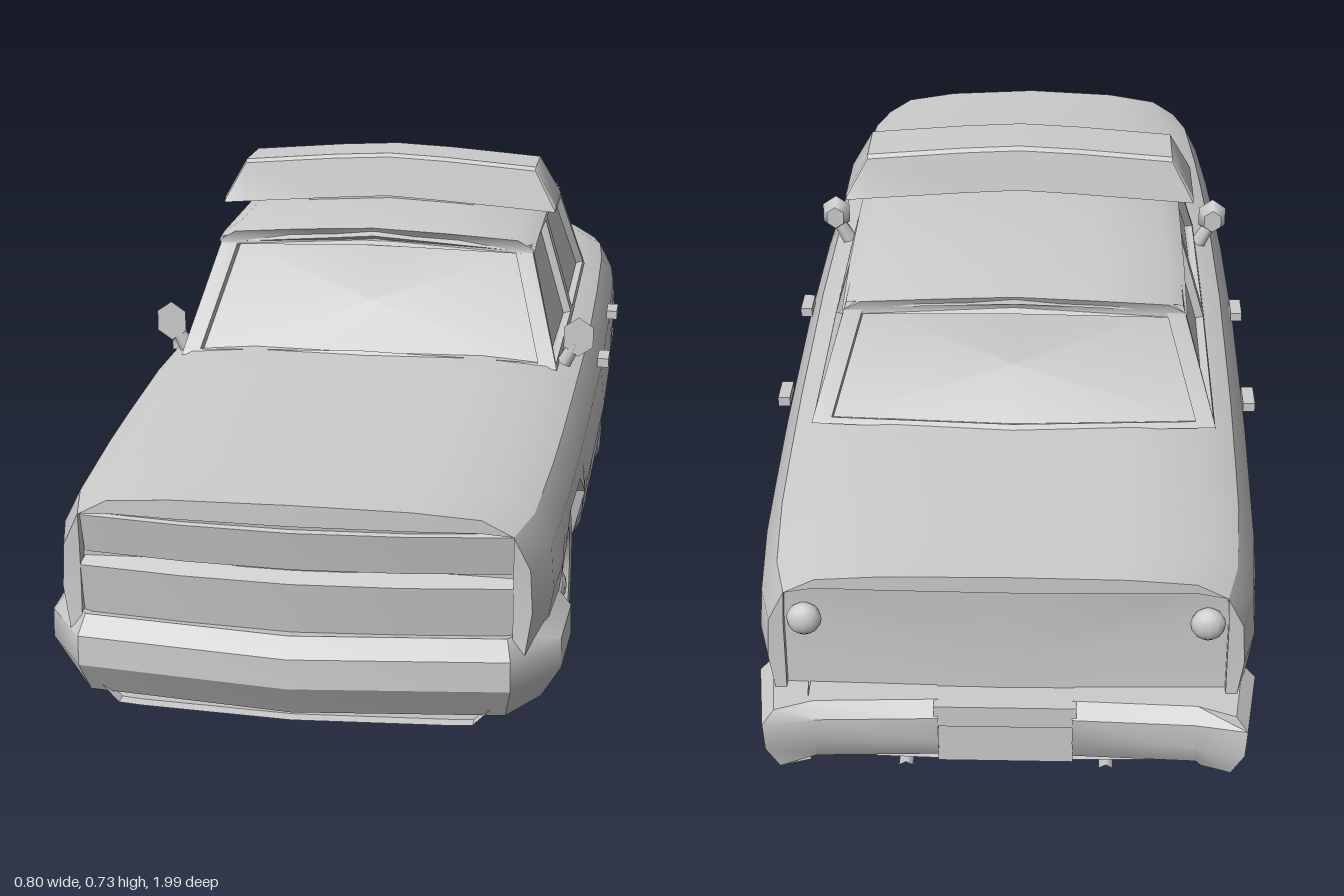
import * as THREE from 'three';
import { toCreasedNormals } from 'three/addons/utils/BufferGeometryUtils.js';

const paint = new THREE.MeshStandardMaterial({ color: 0xcccccc });
paint.name = 'plain grey';

// Geometry from triangles given as [x, y, z] corners
function fromTriangles(tris, crease = 0.55) {
  const g = new THREE.BufferGeometry();
  g.setAttribute('position', new THREE.Float32BufferAttribute(tris.flat(2), 3));
  return toCreasedNormals(g, crease);
}
const centre = (pts) => [0, 1, 2].map((k) => pts.reduce((s, p) => s + p[k], 0) / pts.length);

// Skin over a row of closed rings, capped at both ends
function loft(rings, crease) {
  const tris = [], n = rings[0].length;
  for (let i = 0; i < rings.length - 1; i++) {
    for (let j = 0; j < n; j++) {
      const k = (j + 1) % n, a = rings[i], b = rings[i + 1];
      tris.push([a[j], a[k], b[k]], [a[j], b[k], b[j]]);
    }
  }
  const first = rings[0], last = rings[rings.length - 1];
  const c0 = centre(first), c1 = centre(last);
  for (let j = 0; j < n; j++) {
    const k = (j + 1) % n;
    tris.push([c0, first[k], first[j]], [c1, last[j], last[k]]);
  }
  return fromTriangles(tris, crease);
}

// Profile of [outward, y] points swept along a plan path of [x, z] points
function sweep(path, profile) {
  return loft(path.map(([x, z], i) => {
    const p = path[Math.max(i - 1, 0)], q = path[Math.min(i + 1, path.length - 1)];
    const dx = q[0] - p[0], dz = q[1] - p[1], l = Math.hypot(dx, dz);
    return profile.map(([o, y]) => [x - (dz / l) * o, y, z + (dx / l) * o]);
  }));
}

// Window frame with a recessed pane
function framed(outer, k = 0.1, depth = 0.014) {
  const c = centre(outer), v = outer.map((p) => new THREE.Vector3(...p));
  const n = v[1].clone().sub(v[0]).cross(v[v.length - 1].clone().sub(v[0])).normalize();
  const inner = outer.map((p) => p.map((a, i) => a + (c[i] - a) * k));
  const deep = inner.map((p) => [p[0] - n.x * depth, p[1] - n.y * depth, p[2] - n.z * depth]);
  const dc = centre(deep), tris = [];
  outer.forEach((_, i) => {
    const j = (i + 1) % outer.length;
    tris.push([outer[i], outer[j], inner[j]], [outer[i], inner[j], inner[i]]);
    tris.push([inner[i], inner[j], deep[j]], [inner[i], deep[j], deep[i]]);
    tris.push([deep[i], deep[j], dc]);
  });
  return fromTriangles(tris, 0.3);
}

// Piecewise linear lookup in a list of [key, value], keys ascending
function lookup(table, t) {
  for (let i = 1; i < table.length; i++) {
    const [a, u] = table[i - 1], [b, v] = table[i];
    if (t <= b) return u + (v - u) * Math.max(0, (t - a) / (b - a));
  }
  return table[table.length - 1][1];
}
const flank = [[0.08, 0.3], [0.13, 0.35], [0.2, 0.385], [0.27, 0.395], [0.34, 0.388]];
const planScale = [[-0.925, 0.89], [-0.85, 0.94], [-0.7, 0.97], [-0.4, 0.99], [0, 1], [0.3, 0.99], [0.6, 0.97], [0.85, 0.93], [0.94, 0.87]];
const beltY = [[-0.925, 0.405], [-0.53, 0.42], [0.3, 0.43], [0.94, 0.405]];

const mirrorRing = (half) => [...half, ...half.slice(1, -1).reverse().map(([x, y, z]) => [-x, y, z])];

// One body section; arch is the height of the wheel opening, or 0
function bodySection(z, arch) {
  const s = lookup(planScale, z), t = lookup(beltY, z), low = arch || 0.13;
  const half = [[0, t + 0.012], [0.2, t + 0.007], [0.31, t - 0.004], [0.362, t - 0.03]];
  for (let i = 0; i <= 3; i++) {
    const y = t - 0.08 + ((low - t + 0.08) * i) / 3;
    half.push([lookup(flank, y), y]);
  }
  half.push(arch ? [0.26, low] : [0.3, 0.088], [0.26, 0.088], [0, 0.088]);
  return mirrorRing(half.map(([x, y]) => {
    const bow = 1 - (x / 0.36) ** 2;
    return [x * s, y, z + (z > 0.9 ? 0.03 * bow : z < -0.9 ? -0.015 * bow : 0)];
  }));
}

function bodyGeometry() {
  const stations = [[0.94, 0], [0.85, 0], [0.75, 0], [0.74, 0.2], [0.71, 0.28], [0.65, 0.31], [0.5, 0.31],
    [0.445, 0.27], [0.42, 0.17], [0.4, 0], [0.3, 0], [0, 0], [-0.32, 0], [-0.335, 0.165], [-0.38, 0.2],
    [-0.56, 0.2], [-0.61, 0.165], [-0.64, 0], [-0.7, 0], [-0.85, 0], [-0.925, 0]];
  const rings = stations.map(([z, a]) => bodySection(z, a));
  // Recessed nose and tail panels inside a thin rim
  const inset = (ring, w, top, dz) => ring.map(([x, y, z]) =>
    [THREE.MathUtils.clamp(x, -w, w), Math.min(y, top - 0.05 * x * x), z + dz]);
  const nose = rings[0], tail = rings[rings.length - 1];
  return loft([inset(nose, 0.315, 0.385, -0.02), inset(nose, 0.315, 0.385, 0), ...rings,
    inset(tail, 0.325, 0.39, 0), inset(tail, 0.325, 0.39, 0.015)]);
}

export function createModel() {
  const car = new THREE.Group();
  car.name = 'taxi';
  const add = (name, geometry, x = 0, y = 0, z = 0, parent = car) => {
    const m = new THREE.Mesh(geometry, paint);
    m.name = name;
    m.position.set(x, y, z);
    parent.add(m);
    return m;
  };
  const flip = (pts) => pts.map(([x, ...r]) => [-x, ...r]).reverse();

  add('body', bodyGeometry());

  // Grille: two folded bands
  const nosePath = [[-0.315, 0.928], [-0.16, 0.948], [0, 0.957], [0.16, 0.948], [0.315, 0.928]];
  add('upperGrille', sweep(nosePath, [[-0.02, 0.375], [0, 0.37], [-0.012, 0.31], [-0.03, 0.31]]));
  add('lowerGrille', sweep(nosePath, [[-0.03, 0.31], [0.006, 0.295], [-0.008, 0.2], [-0.03, 0.2]]));

  // Bumpers
  add('frontBumper', sweep(
    [[-0.352, 0.74], [-0.347, 0.86], [-0.305, 0.93], [0, 0.965], [0.305, 0.93], [0.347, 0.86], [0.352, 0.74]],
    [[-0.04, 0.212], [0.012, 0.222], [0.034, 0.195], [0.035, 0.15], [0.005, 0.1], [-0.04, 0.092]]));
  const rearPath = [[0.34, -0.85], [0.325, -0.97], [0.285, -0.94], [0.1, -0.932]];
  const rearProfile = [[-0.04, 0.205], [0.015, 0.205], [0.035, 0.185], [0.032, 0.14], [0.01, 0.1], [-0.04, 0.092]];
  add('rearBumperLeft', sweep(rearPath, rearProfile));
  add('rearBumperRight', sweep(flip(rearPath), rearProfile));
  add('rearBumperCentre', new THREE.BoxGeometry(0.21, 0.035, 0.05), 0, 0.187, -0.94);
  add('numberPlate', new THREE.BoxGeometry(0.2, 0.08, 0.02), 0, 0.135, -0.94);

  // Cabin
  const windscreen = [[-0.325, 0.42, 0.27], [0, 0.44, 0.305], [0.325, 0.42, 0.27], [0.27, 0.61, 0.165], [0, 0.635, 0.19], [-0.27, 0.61, 0.165]];
  const rearWindow = [[0.325, 0.42, -0.515], [0, 0.43, -0.55], [-0.325, 0.42, -0.515], [-0.27, 0.6, -0.435], [0, 0.62, -0.455], [0.27, 0.6, -0.435]];
  const frontDoor = [[0.325, 0.415, 0.27], [0.327, 0.415, -0.115], [0.272, 0.605, -0.115], [0.27, 0.61, 0.165]];
  const rearDoor = [[0.327, 0.415, -0.115], [0.325, 0.415, -0.515], [0.27, 0.6, -0.435], [0.272, 0.605, -0.115]];
  add('windscreen', framed(windscreen));
  add('rearWindow', framed(rearWindow));
  add('frontWindowLeft', framed(frontDoor));
  add('frontWindowRight', framed(flip(frontDoor)));
  add('rearWindowLeft', framed(rearDoor));
  add('rearWindowRight', framed(flip(rearDoor)));
  add('roof', loft([[0.17, 0.638], [0.13, 0.645], [-0.1, 0.65], [-0.3, 0.643], [-0.44, 0.622]].map(([z, c], i) =>
    mirrorRing([[0, c], [0.13, c - 0.007], [0.247, c - 0.018], [0.277, c - 0.036], [0.268, c - 0.042], [0, c - 0.03]]
      .map(([x, y]) => [x, y, z + (i === 0 ? 0.025 : i === 4 ? -0.018 : 0) * (1 - (x / 0.28) ** 2)])))));

  // Roof sign: bowed bar with sloping sides
  add('roofSign', loft([[-0.3, 0.637, 0.646], [-0.262, 0.64, 0.714], [-0.1, 0.652, 0.727], [0, 0.658, 0.732],
    [0.1, 0.652, 0.727], [0.262, 0.64, 0.714], [0.3, 0.637, 0.646]].map(([x, lo, hi]) => {
    const t = Math.min(1, (hi - lo) / 0.07) * 0.014;
    return [[x, lo, -0.122], [x, hi - 0.006, -0.122 + t], [x, hi, -0.115 + t],
      [x, hi, 0.015 - t], [x, hi - 0.006, 0.022 - t], [x, lo, 0.022]];
  })));
  add('signMount', new THREE.BoxGeometry(0.3, 0.03, 0.08), 0, 0.64, -0.05);

  // Wheels: turned tyre, recessed disc and hub cap
  const tyre = new THREE.LatheGeometry([[0.02, -0.05], [0.12, -0.05], [0.14, -0.035], [0.15, 0], [0.142, 0.035],
    [0.122, 0.052], [0.098, 0.05], [0.09, 0.038], [0.001, 0.036]].map(([r, h]) => new THREE.Vector2(r, h)), 18);
  const cap = new THREE.SphereGeometry(0.027, 10, 6);
  for (const side of [1, -1]) {
    for (const [name, z] of [['front', 0.565], ['rear', -0.465]]) {
      const wheel = new THREE.Group();
      wheel.name = name + (side > 0 ? 'WheelLeft' : 'WheelRight');
      wheel.position.set(side * 0.316, 0.152, z);
      wheel.rotation.z = (-side * Math.PI) / 2;
      add('tyreAndDisc', toCreasedNormals(tyre, 0.7), 0, 0, 0, wheel);
      add('hubCap', cap, 0, 0.036, 0, wheel).scale.y = 0.6;
      car.add(wheel);
    }

    // Door handles
    for (const z of [0.005, -0.325]) {
      add('doorHandle', new THREE.BoxGeometry(0.02, 0.016, 0.056), side * 0.392, 0.366, z);
    }

    // Wing mirror on a slanted stem
    const head = add('wingMirror', new THREE.CylinderGeometry(0.029, 0.018, 0.025, 6), side * 0.357, 0.462, 0.195);
    head.rotation.x = Math.PI / 2;
    head.scale.z = 1.2;
    const stem = add('mirrorStem', new THREE.CylinderGeometry(0.012, 0.015, 0.06, 6), side * 0.337, 0.422, 0.197);
    stem.rotation.z = -side * 0.5;

    // Round tail lamps
    const lamp = add('tailLamp', new THREE.SphereGeometry(0.026, 12, 8), side * 0.295, 0.325, -0.917);
    lamp.scale.z = 0.7;

    // Exhaust: jogged pipe, silencer, tailpipe
    const run = new THREE.CurvePath();
    const pts = [[0.045, 0.42], [0.045, -0.12], [0.15, -0.26], [0.15, -0.94]]
      .map(([x, z]) => new THREE.Vector3(side * x, 0.07, z));
    for (let i = 0; i < 3; i++) run.add(new THREE.LineCurve3(pts[i], pts[i + 1]));
    add('exhaustPipe', new THREE.TubeGeometry(run, 40, 0.012, 6), 0, 0, 0);
    const box = add('silencer', toCreasedNormals(new THREE.CylinderGeometry(0.05, 0.05, 0.12, 8), 0.3), side * 0.15, 0.056, -0.63);
    box.rotation.x = Math.PI / 2;
    box.scale.z = 0.45;
  }
  return car;
}
